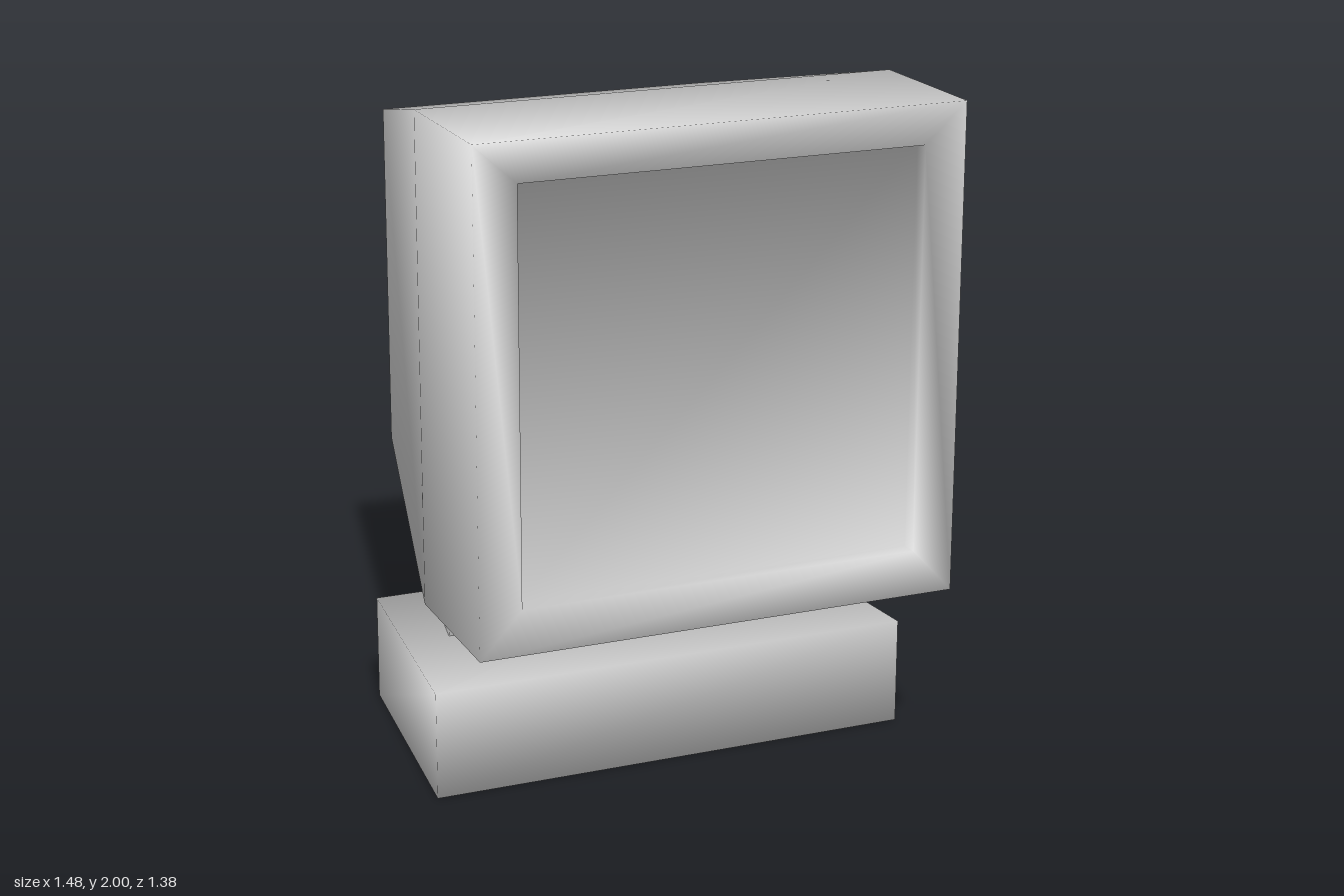
import * as THREE from 'three';

const material = new THREE.MeshStandardMaterial({ color: 0xcccccc });

// Joins four-cornered rings into one surface with evenly averaged, soft corner normals.
function loft(name, rings, capped) {
  const points = rings.flat().map((p) => new THREE.Vector3(...p));
  const normals = points.map(() => new THREE.Vector3());
  const index = [];
  const quad = (a, b, c, d) => {
    index.push(a, b, c, a, c, d);
    const n = points[c].clone().sub(points[a]).cross(points[d].clone().sub(points[b])).normalize();
    [a, b, c, d].forEach((i) => normals[i].add(n));
  };
  for (let r = 0; r < rings.length - 1; r++) {
    for (let j = 0; j < 4; j++) {
      const k = (j + 1) % 4;
      quad(r * 4 + j, r * 4 + k, r * 4 + 4 + k, r * 4 + 4 + j);
    }
  }
  if (capped) {
    const e = points.length - 4;
    quad(3, 2, 1, 0);
    quad(e, e + 1, e + 2, e + 3);
  }
  const geometry = new THREE.BufferGeometry().setFromPoints(points);
  geometry.setAttribute('normal', new THREE.Float32BufferAttribute(
    normals.flatMap((n) => n.normalize().toArray()), 3));
  geometry.setIndex(index);
  const mesh = new THREE.Mesh(geometry, material);
  mesh.name = name;
  return mesh;
}

// Upright rectangle facing the front
const upright = (x, y0, y1, z) => [[-x, y0, z], [x, y0, z], [x, y1, z], [-x, y1, z]];

// Lying trapezoid: front edge and back edge, each as [half width, y, z]
const lying = ([fx, fy, fz], [bx, by, bz]) =>
  [[-fx, fy, fz], [fx, fy, fz], [bx, by, bz], [-bx, by, bz]];

export function createModel() {
  const model = new THREE.Group();
  model.name = 'monitor';

  // Tapered housing with bezel and shallow recessed screen
  model.add(loft('housingWithScreen', [
    upright(0.525, 0.755, 1.805, -0.69),
    upright(0.725, 0.555, 2, 0.22),
    upright(0.725, 0.555, 2, 0.69),
    upright(0.6, 0.69, 1.885, 0.69),
    upright(0.6, 0.69, 1.885, 0.64),
  ], true));

  // Leaning neck, open where it meets base and housing
  model.add(loft('neck', [
    lying([0.56, 0.325, -0.06], [0.5, 0.325, -0.385]),
    lying([0.56, 0.605, 0.02], [0.5, 0.675, -0.31]),
  ], false));

  // Base block, narrower at the back
  model.add(loft('base', [0, 0.325].map((y) =>
    lying([0.74, y, 0.345], [0.665, y, -0.44])), true));

  return model;
}
